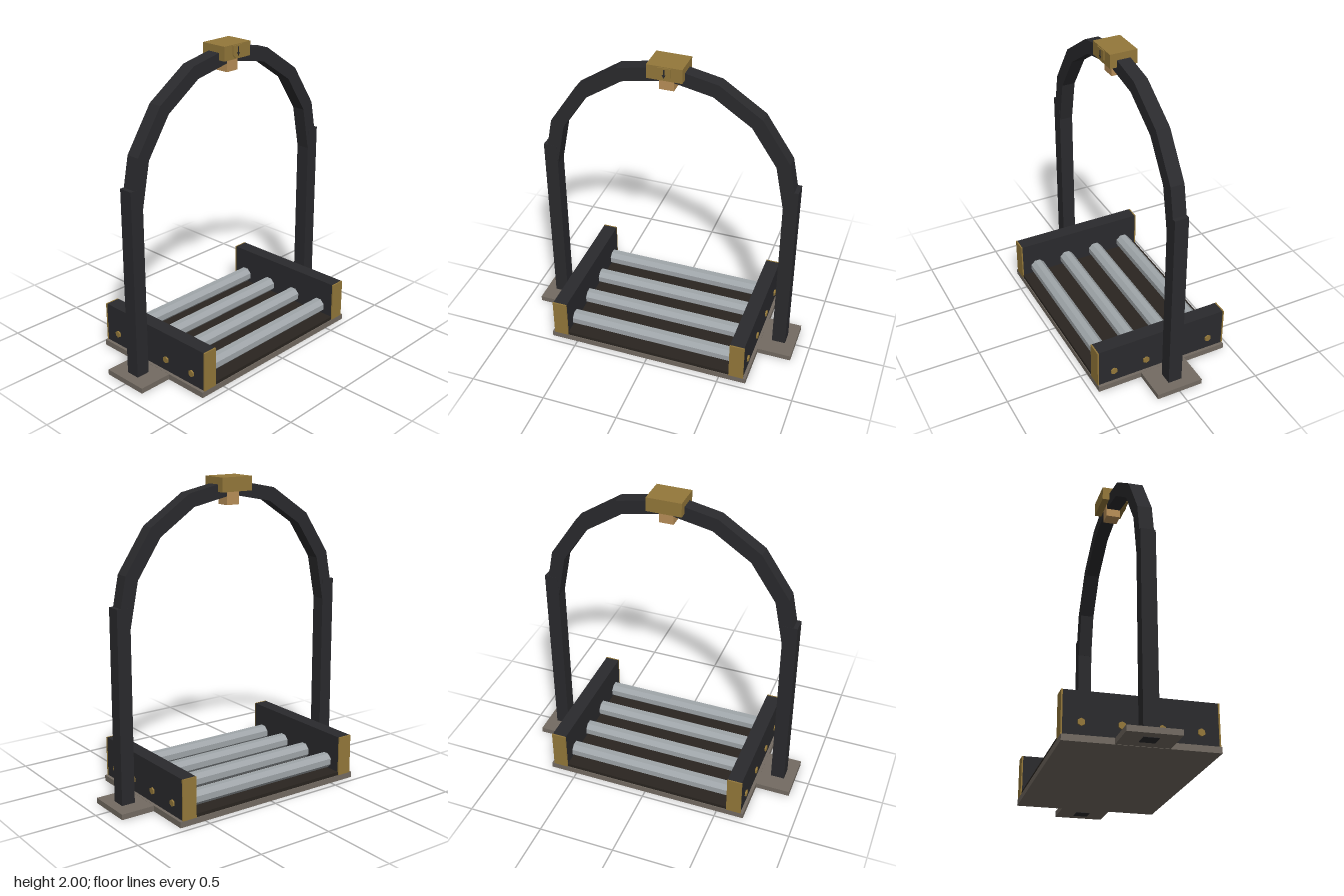
import * as THREE from 'three';

const mat = (color) => new THREE.MeshStandardMaterial({ color, flatShading: true });
const dark = mat(0x2a2a2d), gold = mat(0x94783a), stone = mat(0x736b62);
const soil = mat(0x2a2520), steel = mat(0xa0a6aa), tan = mat(0xb98f58);

export function createModel() {
  const model = new THREE.Group();

  const add = (name, geometry, material, x = 0, y = 0, z = 0) => {
    const mesh = new THREE.Mesh(geometry, material);
    mesh.name = name;
    mesh.position.set(x, y, z);
    model.add(mesh);
    return mesh;
  };
  // Box given by its low and high limits on each axis
  const box = (name, material, [x0, x1], [y0, y1], [z0, z1]) =>
    add(name, new THREE.BoxGeometry(x1 - x0, y1 - y0, z1 - z0), material,
      (x0 + x1) / 2, (y0 + y1) / 2, (z0 + z1) / 2);

  // Base slab and dark bed under the rollers
  box('baseSlab', stone, [-0.68, 0.68], [0, 0.038], [-0.455, 0.455]);
  box('rollerBed', soil, [-0.57, 0.57], [0.038, 0.06], [-0.45, 0.45]);

  for (const [side, s] of [['left', 1], ['right', -1]]) {
    const span = (a, b) => (s > 0 ? [a, b] : [-b, -a]);

    // Foot plate and upright post
    box(side + 'FootPlate', stone, span(0.68, 0.905), [0.002, 0.037], [-0.157, 0.157]);
    box(side + 'Post', dark, span(0.75, 0.84), [0, 1.27], [-0.046, 0.046]);

    // Side rail with end caps
    box(side + 'Rail', dark, span(0.565, 0.66), [0.038, 0.3], [-0.446, 0.446]);
    for (const e of [1, -1])
      box(side + 'RailCap', gold, span(0.565, 0.663), [0.038, 0.3],
        e > 0 ? [0.446, 0.455] : [-0.455, -0.446]);
  }

  // Rollers and hexagonal axle ends
  const rollerGeo = new THREE.CylinderGeometry(0.051, 0.051, 1.11, 8)
    .rotateY(Math.PI / 8).rotateZ(Math.PI / 2);
  const boltGeo = new THREE.CylinderGeometry(0.023, 0.023, 0.03, 6)
    .rotateY(Math.PI / 2).rotateZ(Math.PI / 2);
  for (let i = 0; i < 4; i++) {
    const z = -0.341 + i * 0.2275;
    add('roller', rollerGeo, steel, 0, 0.117, z);
    for (const s of [1, -1]) add('axleBolt', boltGeo, gold, s * 0.655, 0.117, z);
  }

  // Faceted half-ring arch
  const segments = 8, centreY = 1.139;
  const arc = (r) => Array.from({ length: segments + 1 }, (_, i) => {
    const a = (Math.PI * i) / segments;
    return new THREE.Vector2(r * Math.cos(a), centreY + r * Math.sin(a));
  });
  const archShape = new THREE.Shape([...arc(0.839), ...arc(0.749).reverse()]);
  const archGeo = new THREE.ExtrudeGeometry(archShape, { depth: 0.09, bevelEnabled: false });
  add('arch', archGeo, dark, 0, 0, -0.045);

  // Housing at the crown, with a small block hanging below
  box('crownHousing', gold, [-0.112, 0.112], [1.91, 2], [-0.09, 0.09]);
  box('lowerBlock', tan, [-0.046, 0.046], [1.825, 1.915], [-0.046, 0.046]);

  // Plain plate with a pointer on the front of the housing
  const plate = new THREE.Shape([[-0.042, 1.995], [-0.042, 1.935], [-0.022, 1.918],
    [0.022, 1.918], [0.042, 1.935], [0.042, 1.995]].map((p) => new THREE.Vector2(...p)));
  add('frontPlate', new THREE.ExtrudeGeometry(plate, { depth: 0.006, bevelEnabled: false }),
    gold, 0, 0, 0.09);
  const pointer = new THREE.Shape([[-0.004, 1.985], [-0.004, 1.95], [-0.011, 1.95],
    [0, 1.93], [0.011, 1.95], [0.004, 1.95], [0.004, 1.985]].map((p) => new THREE.Vector2(...p)));
  add('pointer', new THREE.ExtrudeGeometry(pointer, { depth: 0.005, bevelEnabled: false }),
    dark, 0, 0, 0.095);

  return model;
}
